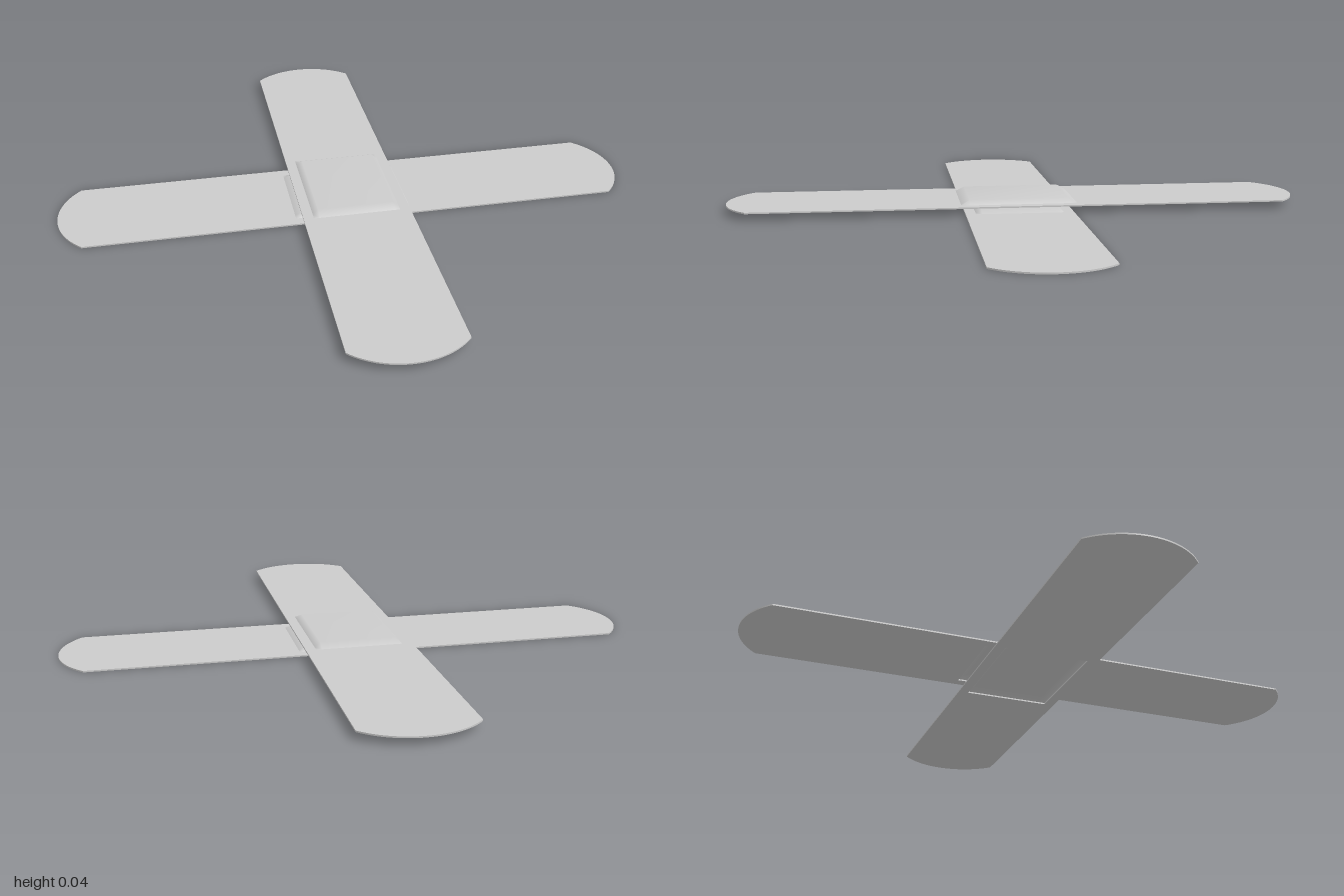
import * as THREE from 'three';

const THICK = 0.005;   // sheet thickness
const HALF_W = 0.185;  // half width of a strip
const STRAIGHT = 0.92; // where the rounded end begins
const PAD = { baseX: 0.2, baseZ: 0.15, topX: 0.17, topZ: 0.13, height: 0.016 };

const material = new THREE.MeshStandardMaterial({ color: 0xcccccc, side: THREE.DoubleSide });

// Thin strip with shallow rounded ends and an opening for the raised pad
function stripGeometry() {
  const sagitta = 1 - STRAIGHT;
  const r = (HALF_W ** 2 + sagitta ** 2) / (2 * sagitta);
  const a = Math.asin(HALF_W / r);
  const shape = new THREE.Shape();
  shape.absarc(1 - r, 0, r, -a, a, false);
  shape.absarc(r - 1, 0, r, Math.PI - a, Math.PI + a, false);
  shape.closePath();

  const { baseX: x, baseZ: z } = PAD;
  shape.holes.push(new THREE.Path([[-x, -z], [-x, z], [x, z], [x, -z]].map(p => new THREE.Vector2(...p))));
  const geo = new THREE.ExtrudeGeometry(shape, { depth: THICK, bevelEnabled: false, curveSegments: 20 });
  return geo.rotateX(-Math.PI / 2);
}

// Hollow raised pad: a 3 x 3 grid whose inner corners are lifted, smoothly shaded
function padGeometry() {
  const geo = new THREE.PlaneGeometry(2, 2, 3, 3).rotateX(-Math.PI / 2);
  const p = geo.attributes.position;
  for (let i = 0; i < p.count; i++) {
    const x = p.getX(i), z = p.getZ(i);
    const innerX = Math.abs(x) < 0.9, innerZ = Math.abs(z) < 0.9;
    p.setXYZ(
      i,
      Math.sign(x) * (innerX ? PAD.topX : PAD.baseX),
      THICK + (innerX && innerZ ? PAD.height : 0),
      Math.sign(z) * (innerZ ? PAD.topZ : PAD.baseZ)
    );
  }
  geo.computeVertexNormals();
  return geo;
}

function createBandage(name) {
  const bandage = new THREE.Group();
  bandage.name = name;
  const strip = new THREE.Mesh(stripGeometry(), material);
  strip.name = 'strip';
  const pad = new THREE.Mesh(padGeometry(), material);
  pad.name = 'pad';
  bandage.add(strip, pad);
  return bandage;
}

export function createModel() {
  const model = new THREE.Group();
  model.name = 'crossedBandages';

  // Lower bandage lies along x
  const lower = createBandage('lowerBandage');
  lower.position.z = 0.004;

  // Upper bandage crosses it along z
  const upper = createBandage('upperBandage');
  upper.rotation.y = Math.PI / 2;
  upper.position.set(0.004, 0.022, 0);

  model.add(lower, upper);
  return model;
}
